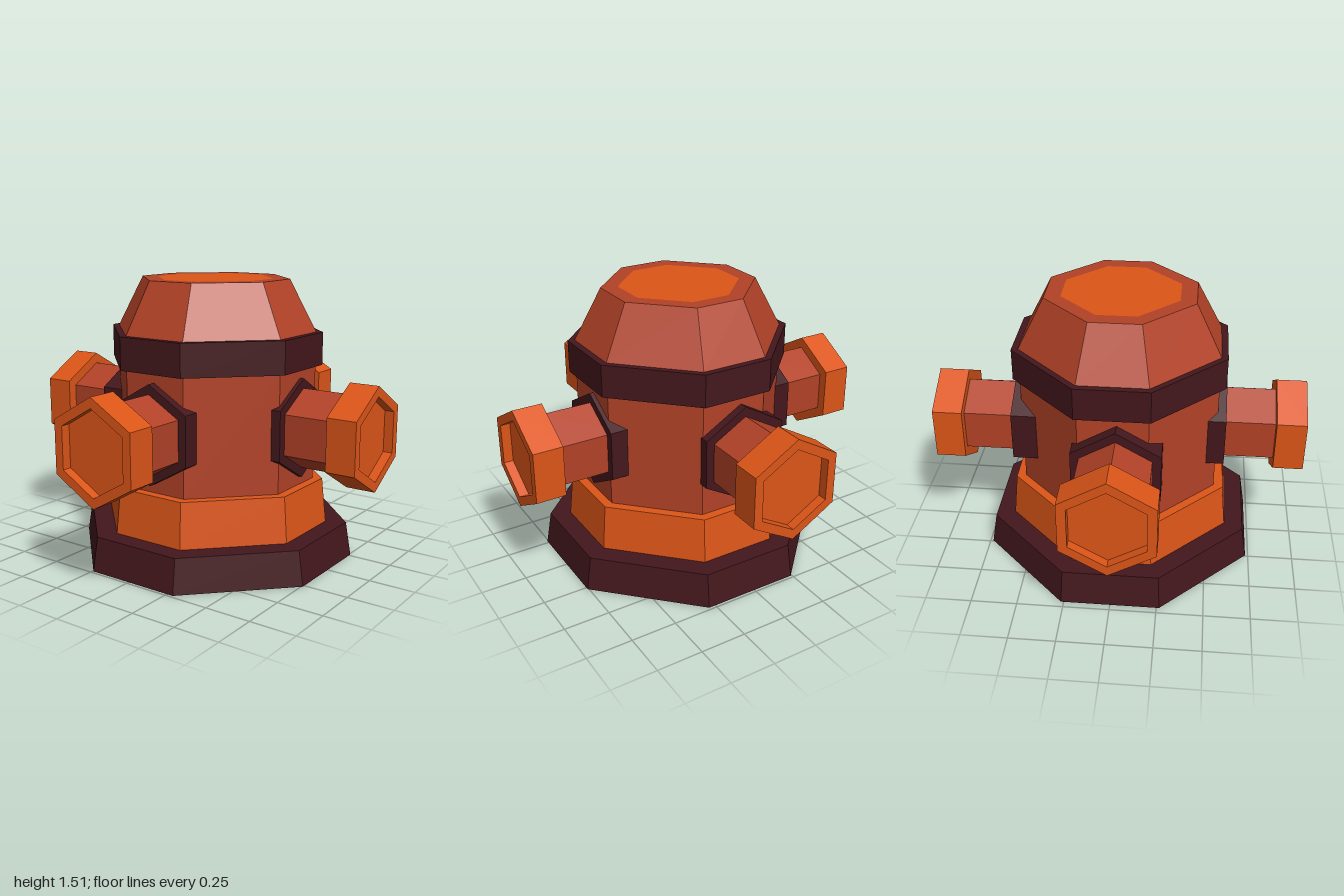
import * as THREE from 'three';

const material = (color) => new THREE.MeshStandardMaterial({ color, flatShading: true });

// Cross-section loops, counter-clockwise seen from above
const octagon = (a, h, y) =>
  [[-h, a], [h, a], [a, h], [a, -h], [h, -a], [-h, -a], [-a, -h], [-a, h]]
    .map(([x, z]) => new THREE.Vector3(x, y, z));

const hexagon = (r, y) => Array.from({ length: 6 }, (_, i) => {
  const t = (i * Math.PI) / 3;
  return new THREE.Vector3(r * Math.sin(t), y, r * Math.cos(t));
});

// Flat-faced skin through a list of loops, closed at both ends
function loft(rings, closeTop = true) {
  const points = [];
  const n = rings[0].length;
  for (let k = 0; k < rings.length - 1; k++) {
    const lo = rings[k], up = rings[k + 1];
    for (let i = 0; i < n; i++) {
      const j = (i + 1) % n;
      points.push(lo[i], lo[j], up[j], lo[i], up[j], up[i]);
    }
  }
  const first = rings[0], last = rings[rings.length - 1];
  for (let i = 1; i < n - 1; i++) {
    points.push(first[0], first[i + 1], first[i]);
    if (closeTop) points.push(last[0], last[i], last[i + 1]);
  }
  const geometry = new THREE.BufferGeometry().setFromPoints(points);
  geometry.computeVertexNormals();
  return geometry;
}

export function createModel() {
  const model = new THREE.Group();
  model.name = 'hydrant';
  const orange = material(0xdc5518);
  const brick = material(0xb24227);
  const dark = material(0x43171c);

  const add = (parent, name, geometry, mat) => {
    const mesh = new THREE.Mesh(geometry, mat);
    mesh.name = name;
    parent.add(mesh);
  };

  // Stacked octagonal barrel, sitting slightly forward of the centre
  const barrel = new THREE.Group();
  barrel.name = 'barrel';
  barrel.position.z = 0.022;
  model.add(barrel);
  add(barrel, 'base', loft([octagon(0.735, 0.265, 0), octagon(0.705, 0.257, 0.185)]), dark);
  add(barrel, 'skirt', loft([octagon(0.603, 0.21, 0.185), octagon(0.58, 0.2, 0.43)]), orange);
  add(barrel, 'body', loft([octagon(0.53, 0.182, 0.43), octagon(0.53, 0.182, 1.06)]), brick);
  add(barrel, 'band', loft([octagon(0.565, 0.193, 1.06), octagon(0.565, 0.193, 1.235)]), dark);
  add(barrel, 'dome', loft([
    octagon(0.53, 0.182, 1.235), octagon(0.392, 0.134, 1.51), octagon(0.307, 0.105, 1.51),
  ], false), brick);
  add(barrel, 'domePlate', loft([octagon(0.307, 0.105, 1.45), octagon(0.307, 0.105, 1.51)]), orange);

  // Four hexagonal outlets, each a little off axis in a pinwheel
  const collar = loft([hexagon(0.267, 0.4), hexagon(0.267, 0.575)]).rotateX(Math.PI / 2);
  const stem = loft([hexagon(0.215, 0.5), hexagon(0.215, 0.86)]).rotateX(Math.PI / 2);
  const cap = loft([
    hexagon(0.275, 0.84), hexagon(0.275, 1), hexagon(0.22, 1), hexagon(0.22, 0.95),
  ]).rotateX(Math.PI / 2);

  ['frontOutlet', 'leftOutlet', 'backOutlet', 'rightOutlet'].forEach((name, i) => {
    const outlet = new THREE.Group();
    outlet.name = name;
    const angle = (i * Math.PI) / 2;
    outlet.rotation.y = angle;
    outlet.position.set(0.02 * Math.cos(angle), 0.745, -0.02 * Math.sin(angle));
    add(outlet, 'collar', collar, dark);
    add(outlet, 'stem', stem, brick);
    add(outlet, 'cap', cap, orange);
    model.add(outlet);
  });

  return model;
}
